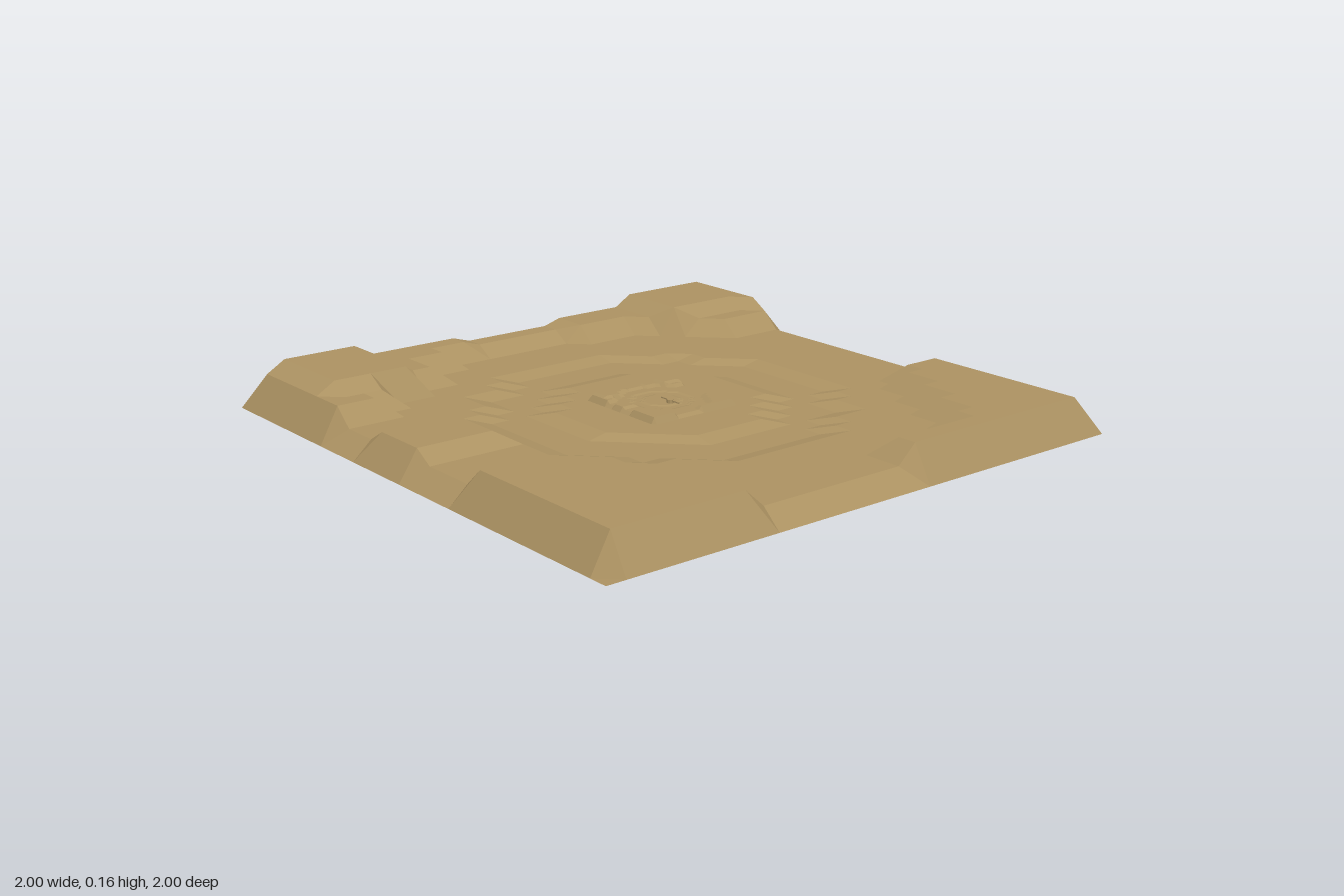
import * as THREE from 'three';

const N = 30, STEP = 2 / N;

// Stepped boundary: value of the first [zMax, x] entry that reaches z
const limit = (steps, z) => {
  const s = steps.find(([zMax]) => z <= zMax + 0.02);
  return s ? s[1] : NaN;
};

// Inner edges of the raised corners, as [up to z, x]
const westHigh = [[-0.93, -0.6], [-0.6, -0.67], [0.54, -2], [0.87, -0.6]];
const westMid = [[-0.73, -0.53], [-0.67, -0.6], [-0.53, -0.73], [-0.27, -0.8],
  [0.13, -2], [0.27, -0.87], [0.4, -0.8], [0.53, -0.67], [0.67, -0.6], [0.73, -0.53], [0.93, -0.47]];
const eastNorth = [[-0.87, 0.33], [-0.8, 0.33], [-0.73, 0.4], [-0.67, 0.53],
  [-0.6, 0.67], [-0.53, 0.8], [-0.2, 0.87]];
const eastSouth = [[0.4, 2], [0.47, 0.87], [0.67, 0.8], [0.73, 0.73], [0.8, 0.67], [0.87, 0.53], [0.93, 0.33]];

function height(x, z) {
  const e = 0.02;
  if (Math.max(Math.abs(x), Math.abs(z)) > 0.99) return 0;
  if (x <= limit(westHigh, z) + e) return 0.16;
  if (x <= limit(westMid, z) + e) return 0.12;
  if (x >= limit(z < 0 ? eastNorth : eastSouth, z) - e) return 0.12;
  // low western shelf and southern knoll
  if (x < -0.85 && z > -0.22 && z < 0.15) return 0.1;
  if (z > 0.65 && x > -0.22 && x < e) return 0.1;
  // shallow moat around the centre
  const r = Math.hypot(x, z);
  return r > 0.36 && r < 0.57 ? 0.045 : 0.06;
}

function terrainGeometry() {
  const geo = new THREE.PlaneGeometry(2, 2, N, N).rotateX(-Math.PI / 2);
  const p = geo.attributes.position;
  for (let i = 0; i < p.count; i++) p.setY(i, height(p.getX(i), p.getZ(i)));
  geo.computeVertexNormals();
  return geo;
}

export function createModel() {
  const group = new THREE.Group();
  const earth = new THREE.MeshStandardMaterial({ color: 0xac9262, flatShading: true, side: THREE.DoubleSide });
  const add = (name, geo, x = 0, y = 0, z = 0, mat = earth) => {
    const mesh = new THREE.Mesh(geo, mat);
    mesh.name = name;
    mesh.position.set(x, y, z);
    group.add(mesh);
    return mesh;
  };

  // Open sheet of ground with sloped rim
  const geo = terrainGeometry();
  add('terrain', geo);

  // Small copy of the ground resting in the middle
  add('miniatureTerrain', geo, -0.003, 0.06, 0).scale.setScalar(0.172);

  // Tiny marker on the miniature
  add('markerHub', new THREE.CylinderGeometry(0.012, 0.012, 0.012, 8), 0.042, 0.077, 0);
  add('markerBar', new THREE.BoxGeometry(0.09, 0.004, 0.006), 0.042, 0.08, 0);

  return group;
}
